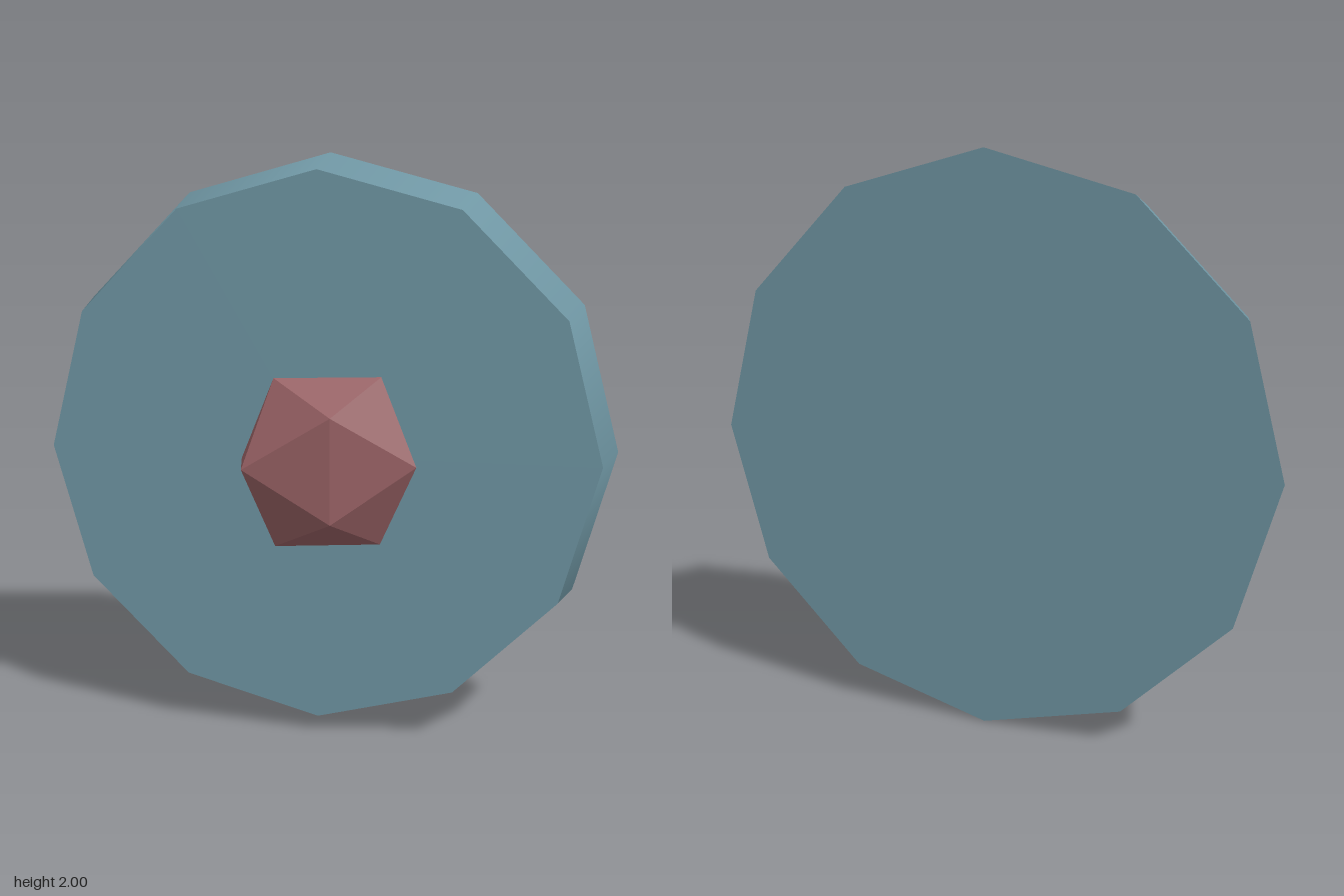
import * as THREE from 'three';

export function createModel() {
  const group = new THREE.Group();

  // Tapered twelve-sided disc, turned slightly about the vertical
  const discGeometry = new THREE.CylinderGeometry(0.943, 1, 0.246, 12);
  discGeometry.rotateX(Math.PI / 2);
  const disc = new THREE.Mesh(
    discGeometry,
    new THREE.MeshStandardMaterial({ color: 0x6f96a3 })
  );
  disc.name = 'disc';
  disc.rotation.y = -0.238;
  disc.position.set(-0.029, 1, -0.005);
  group.add(disc);

  // Faceted knob, flattened front to back
  const knob = new THREE.Mesh(
    new THREE.IcosahedronGeometry(0.333, 0),
    new THREE.MeshStandardMaterial({ color: 0x955f62, flatShading: true })
  );
  knob.name = 'knob';
  knob.scale.z = 0.5;
  knob.position.set(-0.028, 1, 0.217);
  group.add(knob);

  return group;
}
